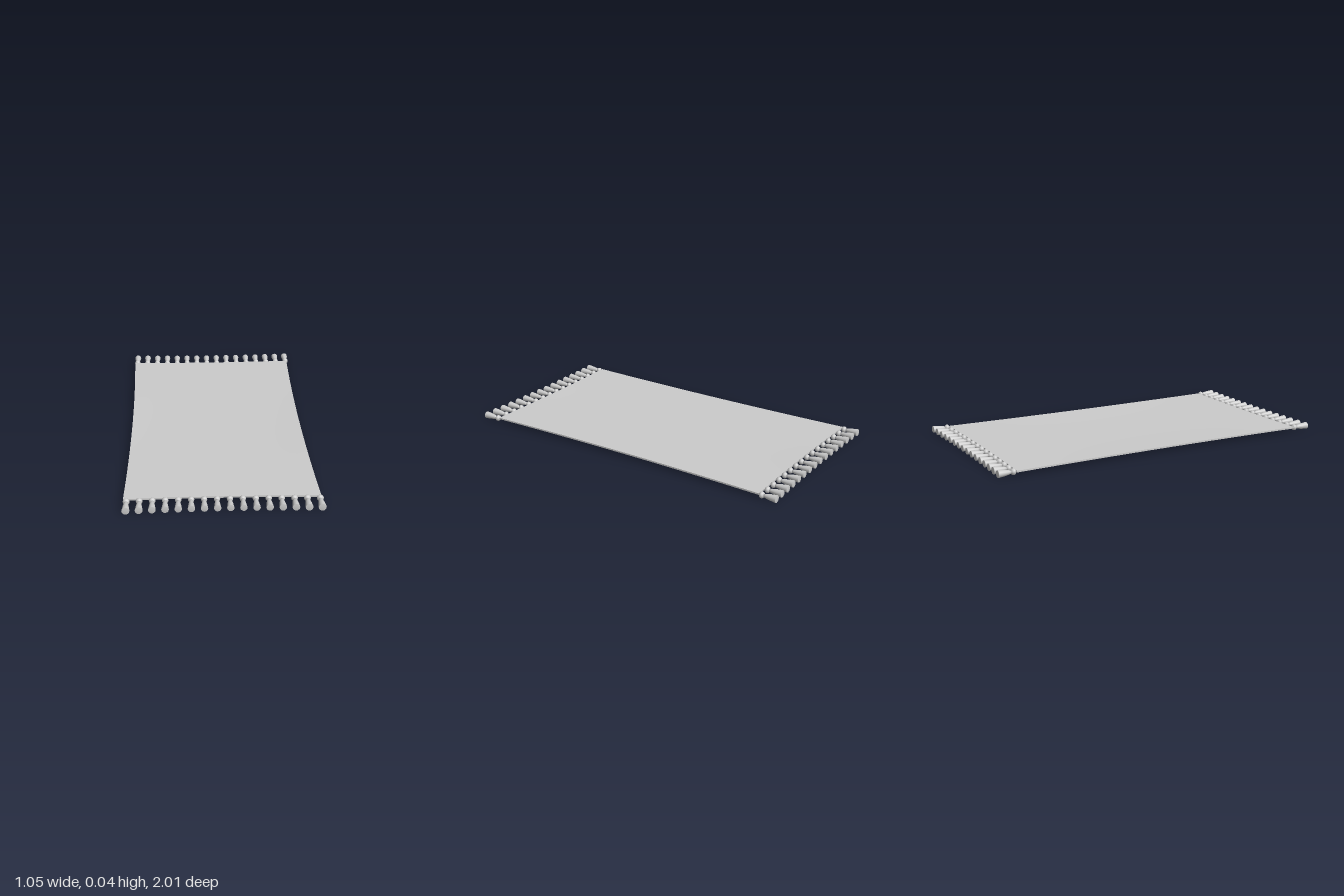
import * as THREE from 'three';

const CX = -0.008, CZ = -0.007;
// Half length of the rug; u runs -1..1 across the width
const halfLength = (u) => 0.888 + 0.01 * u * u;
// Half width of the rug; v runs -1..1 along the length
const halfWidth = (v) => 0.499 + 0.017 * v * v;

function makeRug(material) {
  const geo = new THREE.BoxGeometry(2, 0.009, 2, 16, 1, 24);
  const p = geo.attributes.position;
  for (let i = 0; i < p.count; i++) {
    const u = p.getX(i), v = p.getZ(i);
    // Edges bow inward and the middle sags a little
    const sag = 0.006 * (1 - u * u) * (1 - v * v);
    p.setXYZ(i, CX + u * halfWidth(v), 0.0235 + p.getY(i) - sag, CZ + v * halfLength(u));
  }
  geo.computeVertexNormals();
  const rug = new THREE.Mesh(geo, material);
  rug.name = 'rug';
  return rug;
}

// Flared skirt of threads, axis along +y from the knot
function skirtGeometry(length) {
  const profile = [[0, 0], [0.007, 0], [0.01, 0.012], [0.014, length * 0.5], [0.0175, length - 0.003], [0.0165, length], [0, length]];
  return new THREE.LatheGeometry(profile.map(([r, y]) => new THREE.Vector2(r, y)), 12);
}

export function createModel() {
  const group = new THREE.Group();
  group.name = 'fringedRug';
  const material = new THREE.MeshStandardMaterial({ color: 0xcccccc });
  group.add(makeRug(material));

  const knotGeo = new THREE.SphereGeometry(0.0155, 12, 8);
  const count = 16;
  for (const side of [1, -1]) {
    const skirtGeo = skirtGeometry(side > 0 ? 0.082 : 0.076);
    for (let i = 0; i < count; i++) {
      const u = (i / (count - 1)) * 2 - 1;
      const tassel = new THREE.Group();
      tassel.name = (side > 0 ? 'frontTassel' : 'backTassel') + (i + 1);
      const knot = new THREE.Mesh(knotGeo, material);
      knot.name = 'knot';
      const skirt = new THREE.Mesh(skirtGeo, material);
      skirt.name = 'threads';
      skirt.position.y = 0.012;
      tassel.add(knot, skirt);
      // Outer tassels are slightly fuller
      const fullness = 1.1 + 0.1 * u * u;
      tassel.scale.set(fullness, 1, fullness);
      tassel.rotation.x = side * Math.PI / 2;
      tassel.position.set(-0.003 + u * 0.504, 0.021, CZ + side * (halfLength(u) + 0.014));
      group.add(tassel);
    }
  }
  return group;
}
